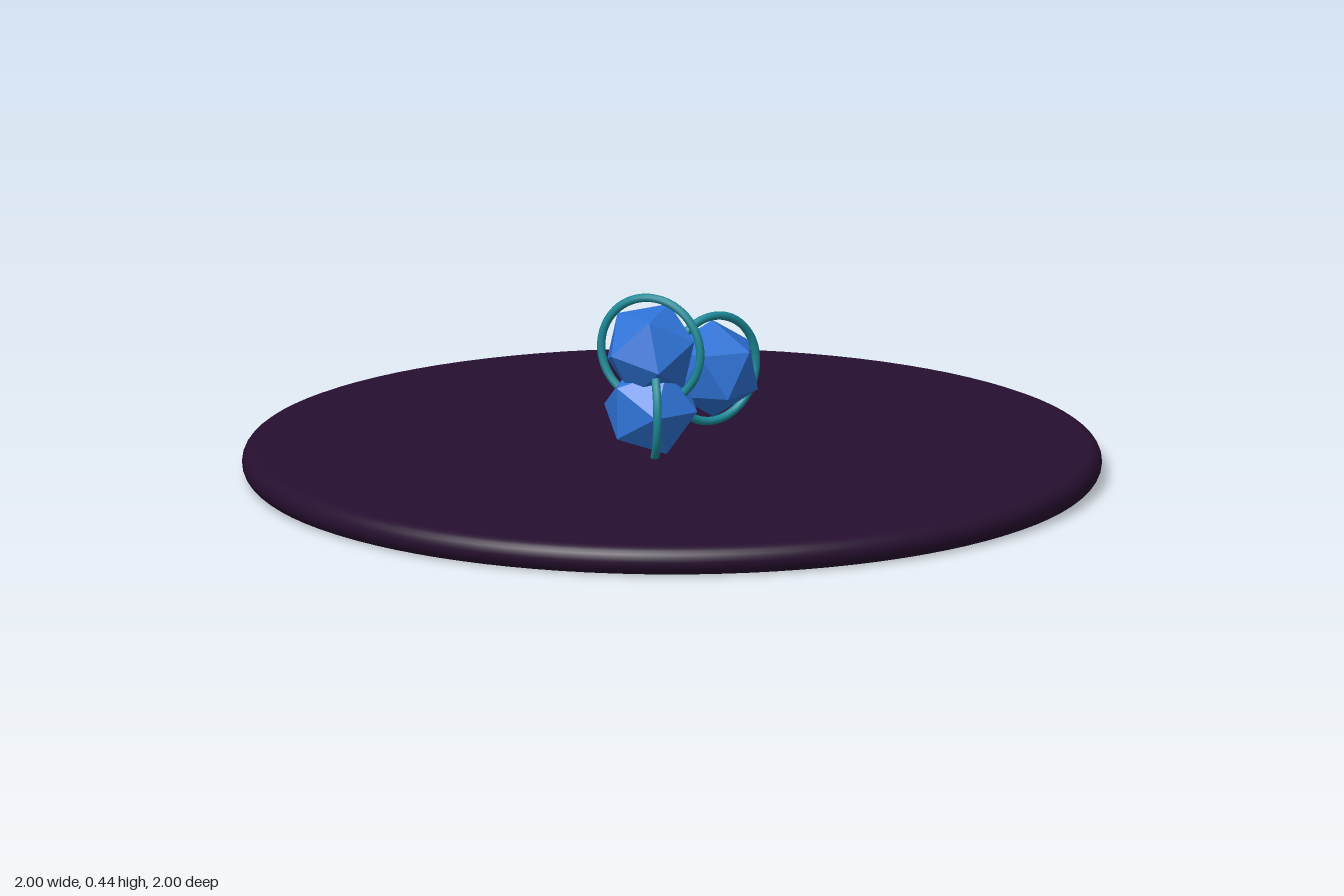
import * as THREE from 'three';

export function createModel() {
  const model = new THREE.Group();
  const darkPurple = new THREE.MeshStandardMaterial({ color: 0x270f30 });
  const blue = new THREE.MeshStandardMaterial({ color: 0x2f74d8, flatShading: true });
  const teal = new THREE.MeshStandardMaterial({ color: 0x1c8a98 });
  darkPurple.name = 'darkPurple';
  blue.name = 'blue';
  teal.name = 'teal';

  const add = (parent, name, geometry, material) => {
    const mesh = new THREE.Mesh(geometry, material);
    mesh.name = name;
    parent.add(mesh);
    return mesh;
  };

  // Wide base disc with a fully rounded rim
  const half = 0.035;
  const profile = [new THREE.Vector2(0, 0)];
  for (let i = 0; i <= 12; i++) {
    const a = -Math.PI / 2 + (Math.PI * i) / 12;
    profile.push(new THREE.Vector2(1 - half + half * Math.cos(a), half + half * Math.sin(a)));
  }
  profile.push(new THREE.Vector2(0, half * 2));
  add(model, 'baseDisc', new THREE.LatheGeometry(profile, 96), darkPurple);

  // Three faceted crystals, each circled by an upright ring
  const crystalShape = new THREE.IcosahedronGeometry(0.116, 0);
  const ringShape = new THREE.TorusGeometry(0.125, 0.01, 10, 64);
  const deg = Math.PI / 180;
  const clusters = [
    { name: 'sideCrystal', at: [0.12, 0.24, 0], roll: 149, turn: 0 },
    { name: 'upperCrystal', at: [-0.062, 0.31, 0], roll: 121, turn: -60 },
    { name: 'lowerCrystal', at: [-0.062, 0.172, 0], roll: 90, turn: 60 },
  ];
  for (const { name, at, roll, turn } of clusters) {
    const group = new THREE.Group();
    group.name = name;
    group.position.set(...at);
    add(group, 'crystal', crystalShape, blue).rotation.z = roll * deg;
    add(group, 'ring', ringShape, teal).rotation.y = turn * deg;
    model.add(group);
  }
  return model;
}
